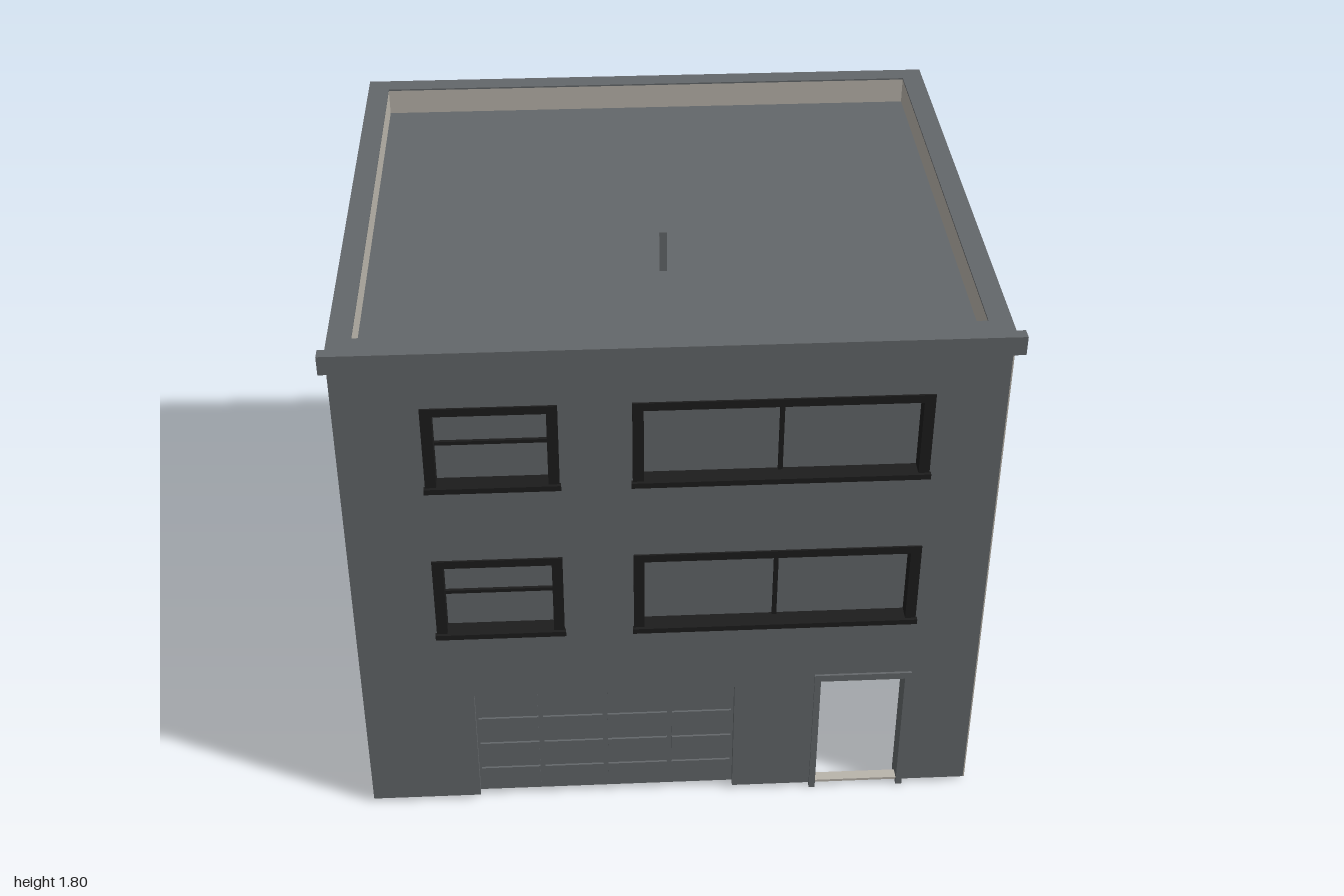
import * as THREE from 'three';

const flat = (name, color, extra = {}) => {
  const m = new THREE.MeshStandardMaterial({ color, ...extra });
  m.name = name;
  return m;
};

export function createModel() {
  const grey = flat('slate grey', 0x63676a);
  const beige = flat('warm beige', 0xb9b4ab);
  const black = flat('frame black', 0x1c1c1c);

  const BASE = 0.015, WALL_TOP = 1.75, TOP = 1.755;
  const L = -0.98, R = 0.975, F = 0.88, B = -0.9, T = 0.07, SKIN = 0.004;
  const model = new THREE.Group();
  model.name = 'building';

  // The plan is very slightly skewed: the back sits a little towards +x
  const skew = new THREE.Matrix4().set(1, 0, -0.0056, 0.0056 * F, 0, 1, 0, 0, 0, 0, 1, 0, 0, 0, 0, 1);
  const add = (parent, name, geo, mat, place) => {
    if (place) geo.applyMatrix4(place);
    geo.applyMatrix4(skew);
    geo.computeVertexNormals();
    const mesh = new THREE.Mesh(geo, mat);
    mesh.name = name;
    parent.add(mesh);
  };
  // Box from its min and max corners
  const box = (parent, name, mat, x0, x1, y0, y1, z0, z1, place) =>
    add(parent, name, new THREE.BoxGeometry(x1 - x0, y1 - y0, z1 - z0)
      .translate((x0 + x1) / 2, (y0 + y1) / 2, (z0 + z1) / 2), mat, place);

  const rectPath = (x0, x1, y0, y1) => {
    const p = new THREE.Path();
    p.moveTo(x0, y0); p.lineTo(x0, y1); p.lineTo(x1, y1); p.lineTo(x1, y0); p.closePath();
    return p;
  };
  // Wall outline with notches for doors and holes for windows
  const wallGeo = (u0, u1, doors, windows, z0, z1) => {
    const s = new THREE.Shape();
    s.moveTo(u0, BASE);
    [...doors].sort((a, b) => a.u0 - b.u0).forEach(d => {
      s.lineTo(d.u0, BASE); s.lineTo(d.u0, d.v1); s.lineTo(d.u1, d.v1); s.lineTo(d.u1, BASE);
    });
    s.lineTo(u1, BASE); s.lineTo(u1, WALL_TOP); s.lineTo(u0, WALL_TOP); s.closePath();
    const e = 0.006;
    windows.forEach(w => s.holes.push(rectPath(w.u0 + e, w.u1 - e, w.v0 + e, w.v1 - e)));
    return new THREE.ExtrudeGeometry(s, { depth: z1 - z0, bevelEnabled: false }).translate(0, 0, z0);
  };

  // Recessed window: frame, sill, bar and pane
  const addWindow = (parent, w, mat, t, place) => {
    const g = new THREE.Group();
    g.name = 'window';
    parent.add(g);
    const { u0, u1, v0, v1 } = w, back = -0.05, out = 0.006;
    box(g, 'frameLeft', mat, u0, u0 + t, v0, v1, back, out, place);
    box(g, 'frameRight', mat, u1 - t, u1, v0, v1, back, out, place);
    box(g, 'frameTop', mat, u0 + t, u1 - t, v1 - t * 0.8, v1, back, out, place);
    box(g, 'sill', mat, u0 - 0.004, u1 + 0.004, v0, v0 + 0.018, back, 0.016, place);
    if (w.upright) {
      const c = (u0 + u1) / 2;
      box(g, 'bar', mat, c - 0.007, c + 0.007, v0, v1, back, -0.034, place);
    } else {
      const c = (v0 + v1) / 2;
      box(g, 'bar', mat, u0, u1, c - 0.006, c + 0.006, back, -0.034, place);
    }
    box(g, 'pane', grey, u0, u1, v0, v1, -0.052, -0.044, place);
  };

  // Door surround with an inward-opened leaf, hinged at u = hinge
  const addDoor = (parent, d, hinge, side, depth, place) => {
    const g = new THREE.Group();
    g.name = 'door';
    parent.add(g);
    const t = 0.02, o = 0.01;
    box(g, 'jambLeft', grey, d.u0 - o, d.u0 + t * 0.5, 0, d.v1 + t, -T, 0.008, place);
    box(g, 'jambRight', grey, d.u1 - t * 0.5, d.u1 + o, 0, d.v1 + t, -T, 0.008, place);
    box(g, 'lintel', grey, d.u0, d.u1, d.v1 - 0.004, d.v1 + t, -T, 0.008, place);
    box(g, 'threshold', beige, d.u0, d.u1, 0.015, 0.024, -0.035, 0, place);
    const h = [hinge, hinge + side * 0.014].sort((a, b) => a - b);
    box(g, 'leaf', beige, h[0], h[1], 0.02, d.v1 - 0.006, -T - depth, -T + 0.01, place);
  };

  const outward = (angle, x, z) =>
    new THREE.Matrix4().makeTranslation(x, 0, z).multiply(new THREE.Matrix4().makeRotationY(angle));
  const group = name => {
    const g = new THREE.Group();
    g.name = name;
    model.add(g);
    return g;
  };
  const floors = [[0.7, 1.0], [1.26, 1.555]];

  // Front: two windows per floor, garage door, entrance
  const front = group('frontWall'), pf = outward(0, 0, F);
  const frontWin = floors.flatMap(([v0, v1]) => [
    { u0: -0.73, u1: -0.335, v0, v1 },
    { u0: -0.12, u1: 0.76, v0, v1, upright: true }]);
  const garage = { u0: -0.63, u1: 0.2, v1: 0.45 };
  const entry = { u0: 0.465, u1: 0.755, v1: 0.47 };
  add(front, 'wall', wallGeo(L, R - SKIN, [garage, entry], frontWin, -T + SKIN, 0), grey, pf);
  add(front, 'lining', wallGeo(L + T, R - T, [entry], [], -T, -T + SKIN), beige, pf);
  frontWin.forEach(w => addWindow(front, w, black, 0.033, pf));
  addDoor(front, entry, 0.466, 1, 0.2, pf);

  // Sectional garage door
  const gd = new THREE.Group();
  gd.name = 'garageDoor';
  front.add(gd);
  box(gd, 'backing', grey, garage.u0, garage.u1, BASE, garage.v1, -0.045, -0.025, pf);
  const pw = (garage.u1 - garage.u0) / 4, ph = (garage.v1 - BASE) / 4;
  for (let i = 0; i < 4; i++) for (let j = 0; j < 4; j++) {
    const x = garage.u0 + i * pw, y = BASE + j * ph;
    box(gd, 'panel', grey, x + 0.008, x + pw - 0.008, y + 0.008, y + ph - 0.008, -0.03, -0.018, pf);
  }

  // Back: two window columns, with a door under one of them
  const back = group('backWall'), pb = outward(Math.PI, 0, B);
  const backWin = floors.flatMap(([v0, v1]) => [
    { u0: -0.605, u1: -0.38, v0: v0 + 0.012, v1 },
    { u0: 0.375, u1: 0.6, v0: v0 + 0.012, v1 }]);
  backWin.push({ u0: 0.375, u1: 0.6, v0: 0.17, v1: 0.465 });
  const backDoor = { u0: -0.6, u1: -0.39, v1: 0.45 };
  add(back, 'wall', wallGeo(-R + SKIN, -L, [backDoor], backWin, -T + SKIN, 0), grey, pb);
  add(back, 'lining', wallGeo(-R + T, -L - T, [backDoor], [], -T, -T + SKIN), beige, pb);
  backWin.forEach(w => addWindow(back, w, grey, 0.02, pb));
  addDoor(back, backDoor, -0.6, 1, 0.13, pb);

  // Left: two windows on each upper floor
  const left = group('leftWall'), pl = outward(-Math.PI / 2, L, 0);
  const leftWin = floors.flatMap(([v0, v1]) => [
    { u0: -0.57, u1: -0.17, v0: v0 + 0.012, v1 },
    { u0: 0.14, u1: 0.54, v0: v0 + 0.012, v1 }]);
  add(left, 'wall', wallGeo(B + T - SKIN, F - T + SKIN, [], leftWin, -T + SKIN, 0), grey, pl);
  add(left, 'lining', wallGeo(B + T, F - T, [], [], -T, -T + SKIN), beige, pl);
  leftWin.forEach(w => addWindow(left, w, grey, 0.02, pl));

  // Right: plain beige party wall
  const right = group('rightWall');
  box(right, 'wall', beige, R - T, R - SKIN, BASE, WALL_TOP, B + T - SKIN, F - T + SKIN);
  box(right, 'facing', beige, R - SKIN, R, BASE, WALL_TOP, B, F);

  // Roof, ceiling, parapet coping, cornice and vent pipe
  const roof = group('roof');
  box(roof, 'deck', grey, L + 0.05, R - 0.05, 1.645, 1.665, B + 0.05, F - 0.05);
  box(roof, 'ceiling', beige, L + T, R - T, 1.637, 1.645, B + T, F - T);
  const ring = new THREE.Shape([[L, -F], [R, -F], [R, -B], [L, -B]].map(p => new THREE.Vector2(...p)));
  ring.holes.push(rectPath(L + T, R - T, -F + T, -B - T));
  add(roof, 'coping', new THREE.ExtrudeGeometry(ring, { depth: TOP - WALL_TOP, bevelEnabled: false })
    .rotateX(-Math.PI / 2).translate(0, WALL_TOP, 0), grey);
  box(roof, 'cornice', grey, -1, 1, 1.7, 1.76, 0.875, 0.912);
  box(roof, 'ventPipe', grey, -0.014, 0.008, 1.66, 1.8, 0.304, 0.326);

  return model;
}
